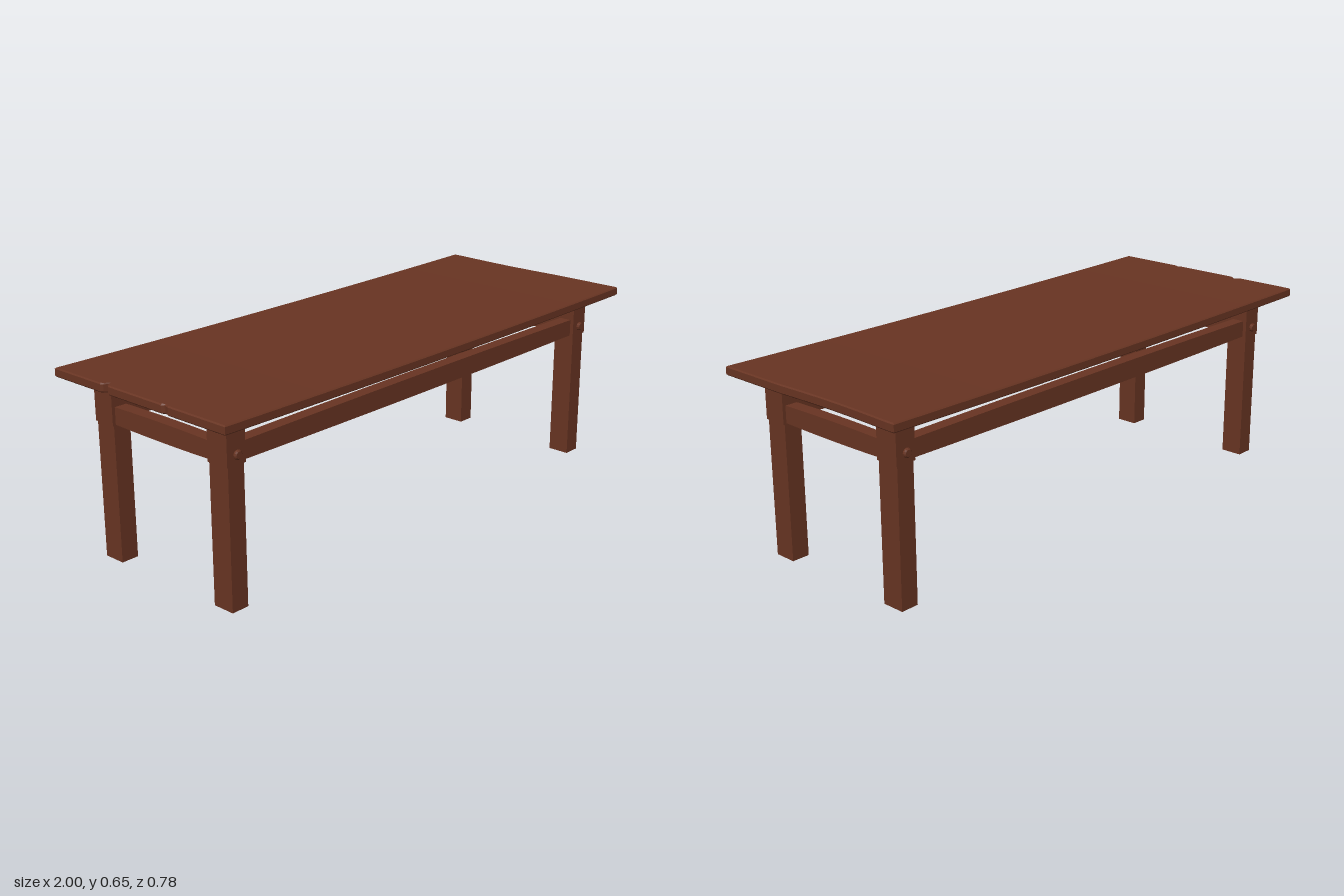
import * as THREE from 'three';

const wood = new THREE.MeshStandardMaterial({ color: 0x683422 });
wood.name = 'reddish brown wood';

const faceted = (geometry) => {
  const g = geometry.toNonIndexed();
  g.computeVertexNormals();
  return g;
};

// Downward bow along the length of the table
const sag = (x) => 0.006 * Math.max(0, 1 - x * x);

// Move every vertex of a geometry by a rule
function warp(geometry, rule) {
  const p = geometry.attributes.position;
  const v = new THREE.Vector3();
  for (let i = 0; i < p.count; i++) {
    rule(v.fromBufferAttribute(p, i));
    p.setXYZ(i, v.x, v.y, v.z);
  }
  return faceted(geometry);
}

// Board with chamfered rims, sagging middle and worn ends
function topGeometry() {
  const w = 2, h = 0.031, d = 0.776, c = 0.004;
  return warp(new THREE.BoxGeometry(w, h, d, 20, 3, 80), (v) => {
    const end = Math.abs(v.x) > 0.999;
    const side = Math.abs(v.z) > d / 2 - 0.001;
    const rim = Math.abs(v.y) > h / 2 - 0.001;
    const z = v.z;
    if (!rim) v.y = Math.sign(v.y) * (h / 2 - c);
    if (rim && side) v.z -= Math.sign(v.z) * c;
    if (end) {
      const s = Math.sign(v.x);
      if (rim) v.x -= s * c;
      // split and nick on the right end, shallow wear on the left end
      if (s < 0) {
        v.x += 0.025 * Math.max(0, 1 - Math.abs(z + 0.145) / 0.013);
        v.x += 0.01 * Math.max(0, 1 - Math.abs(z - 0.13) / 0.011);
      } else if (z > -0.35 && z < 0.12) {
        v.x -= 0.007 * Math.sin(((z + 0.35) / 0.47) * Math.PI);
      }
    }
    v.y -= sag(v.x);
  });
}

// Rail along x, slightly deeper at mid-length
function railGeometry(length, height, depth, swell) {
  return warp(new THREE.BoxGeometry(length, height, depth, 12, 1, 1), (v) => {
    const t = (2 * v.x) / length;
    v.y += Math.sign(v.y) * swell * (1 - t * t);
  });
}

export function createModel() {
  const table = new THREE.Group();
  table.name = 'table';
  const add = (name, geometry, x, y, z) => {
    const mesh = new THREE.Mesh(geometry, wood);
    mesh.name = name;
    mesh.position.set(x, y, z);
    table.add(mesh);
    return mesh;
  };

  add('tableTop', topGeometry(), 0, 0.633, 0);

  // Inset layer under the top, following its sag
  const under = warp(new THREE.BoxGeometry(1.78, 0.022, 0.56, 12, 1, 1), (v) => {
    v.y -= sag(v.x);
  });
  add('underFrame', under, 0, 0.612, 0);

  const leg = new THREE.BoxGeometry(0.064, 0.48, 0.08);
  const block = new THREE.BoxGeometry(0.074, 0.147, 0.084);
  const peg = faceted(new THREE.LatheGeometry([
    [0, -0.01], [0.012, -0.01], [0.012, 0], [0.0155, 0.003],
    [0.0155, 0.008], [0.011, 0.012], [0, 0.012],
  ].map(([r, y]) => new THREE.Vector2(r, y)), 12));
  const longRail = railGeometry(1.7, 0.06, 0.045, 0.004);
  const shortRail = railGeometry(0.45, 0.058, 0.045, 0.003);

  for (const s of [-1, 1]) {
    add('longStretcher', longRail, 0, 0.504, s * 0.267);
    add('shortStretcher', shortRail, s * 0.885, 0.504, 0).rotation.y = Math.PI / 2;
    // Leg, joint block and peg at each corner
    for (const f of [-1, 1]) {
      add('leg', leg, s * 0.882, 0.24, f * 0.26);
      add('legBlock', block, s * 0.882, 0.5455, f * 0.261);
      add('peg', peg, s * 0.88, 0.506, f * 0.302).rotation.x = f * Math.PI / 2;
    }
  }
  return table;
}
